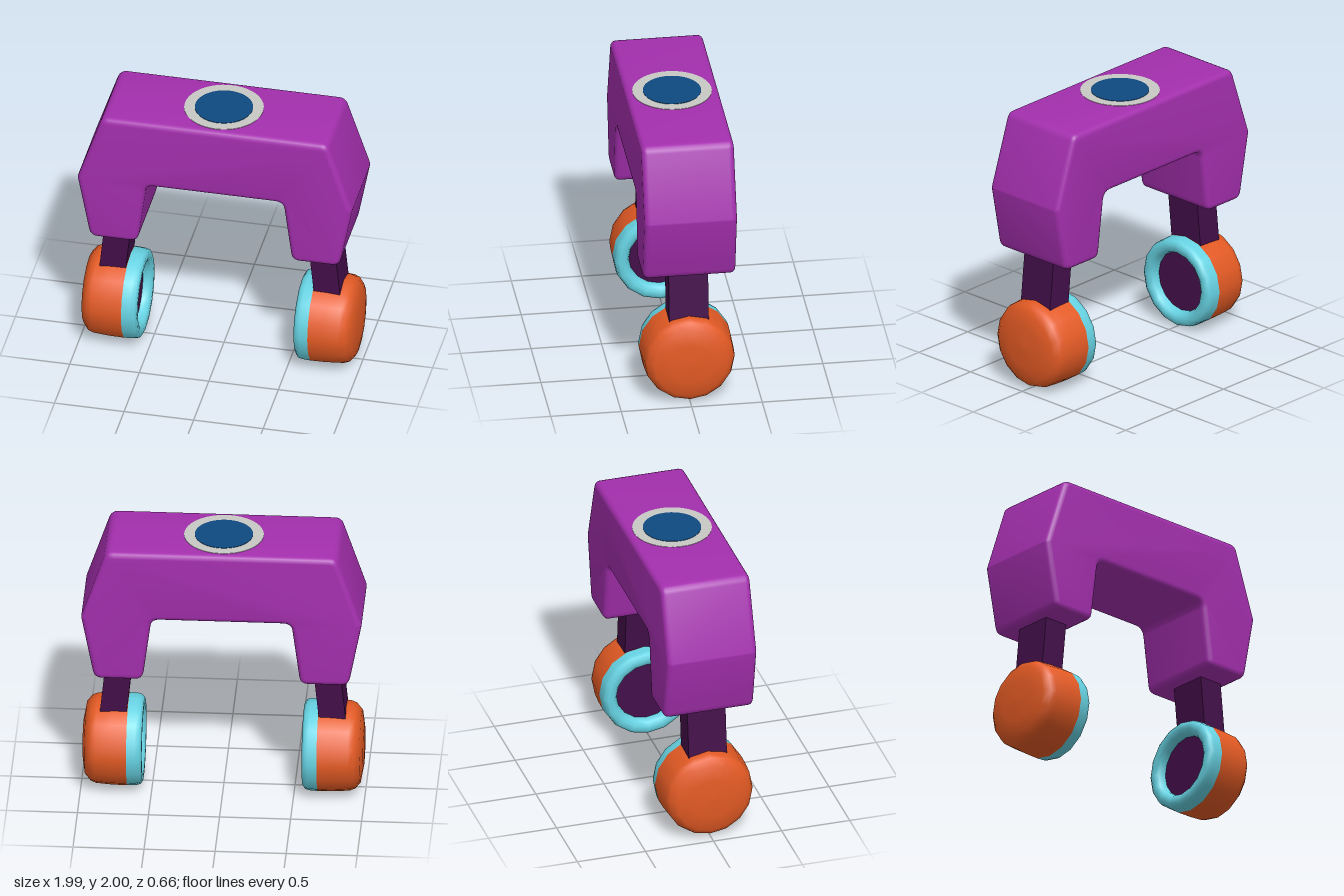
import * as THREE from 'three';
import { toCreasedNormals } from 'three/addons/utils/BufferGeometryUtils.js';

const material = (name, color) => {
  const m = new THREE.MeshStandardMaterial({ color });
  m.name = name;
  return m;
};

function addMesh(parent, name, geometry, mat) {
  const mesh = new THREE.Mesh(geometry, mat);
  mesh.name = name;
  parent.add(mesh);
  return mesh;
}

// Closed outline whose corners [x, y, radius] are rounded
function roundedShape(corners) {
  const shape = new THREE.Shape();
  const n = corners.length;
  corners.forEach(([x, y, r], i) => {
    const p = new THREE.Vector2(x, y);
    const toward = (c) => new THREE.Vector2(c[0], c[1]).sub(p).setLength(r).add(p);
    const a = toward(corners[(i + n - 1) % n]);
    const b = toward(corners[(i + 1) % n]);
    if (i === 0) shape.moveTo(a.x, a.y);
    else shape.lineTo(a.x, a.y);
    shape.quadraticCurveTo(x, y, b.x, b.y);
  });
  shape.closePath();
  return shape;
}

const lathe = (points) =>
  new THREE.LatheGeometry(points.map(([r, h]) => new THREE.Vector2(r, h)), 16);

export function createModel() {
  const purple = material('purple shell', 0xa42fae);
  const plum = material('dark plum', 0x430f4a);
  const orange = material('orange', 0xe35a24);
  const cyan = material('cyan', 0x66d2e2);
  const grey = material('light grey', 0xc8c8c4);
  const blue = material('deep blue', 0x0f4a80);

  const model = new THREE.Group();
  model.name = 'archedHeadset';

  // Arched shell, bevelled on both faces
  const half = [
    [0.81, 1.993, 0.05], [0.988, 1.465, 0.015], [0.895, 0.98, 0.055],
    [0.555, 0.98, 0.055], [0.492, 1.46, 0.055],
  ];
  const mirrored = half.map(([x, y, r]) => [-x, y, r]).reverse();
  const bevel = 0.04;
  const depth = 0.656 - bevel * 2;
  const arch = new THREE.ExtrudeGeometry(roundedShape([...half, ...mirrored].reverse()), {
    depth, curveSegments: 4, bevelSegments: 4,
    bevelSize: bevel, bevelThickness: bevel, bevelOffset: -bevel,
  });
  arch.translate(0, 0, -depth / 2);
  addMesh(model, 'arch', toCreasedNormals(arch, 0.45), purple);

  // Round badge on top
  const ring = addMesh(model, 'badgeRing', new THREE.CylinderGeometry(0.28, 0.28, 0.008, 48), grey);
  ring.position.y = 1.992;
  const disc = addMesh(model, 'badgeDisc', new THREE.CylinderGeometry(0.205, 0.205, 0.008, 48), blue);
  disc.position.y = 1.995;

  // Strut and ear cup on each side
  for (const [side, turn] of [['left', 0], ['right', Math.PI]]) {
    const arm = new THREE.Group();
    arm.name = side + 'Arm';
    arm.rotation.y = turn;
    model.add(arm);

    const strut = addMesh(arm, side + 'Strut', new THREE.BoxGeometry(0.188, 0.6, 0.28), plum);
    strut.position.set(0.752, 0.8, 0);
    strut.rotation.z = 0.1;

    // Cup parts are turned around the axis, measured outward from the middle
    const cup = new THREE.Group();
    cup.name = side + 'Cup';
    cup.position.y = 0.332;
    cup.rotation.z = -Math.PI / 2;
    arm.add(cup);
    addMesh(cup, 'cupShell', lathe([
      [0.33, 0.67], [0.328, 0.78], [0.32, 0.89], [0.305, 0.93], [0.26, 0.968], [0.15, 0.987], [0, 0.993],
    ]), orange);
    addMesh(cup, 'cupCushion', lathe([
      [0.218, 0.65], [0.222, 0.61], [0.235, 0.58], [0.26, 0.563],
      [0.295, 0.563], [0.318, 0.58], [0.326, 0.61], [0.33, 0.67],
    ]), cyan);
    addMesh(cup, 'speakerFace', lathe([[0, 0.63], [0.222, 0.63]]), plum);
  }
  return model;
}
